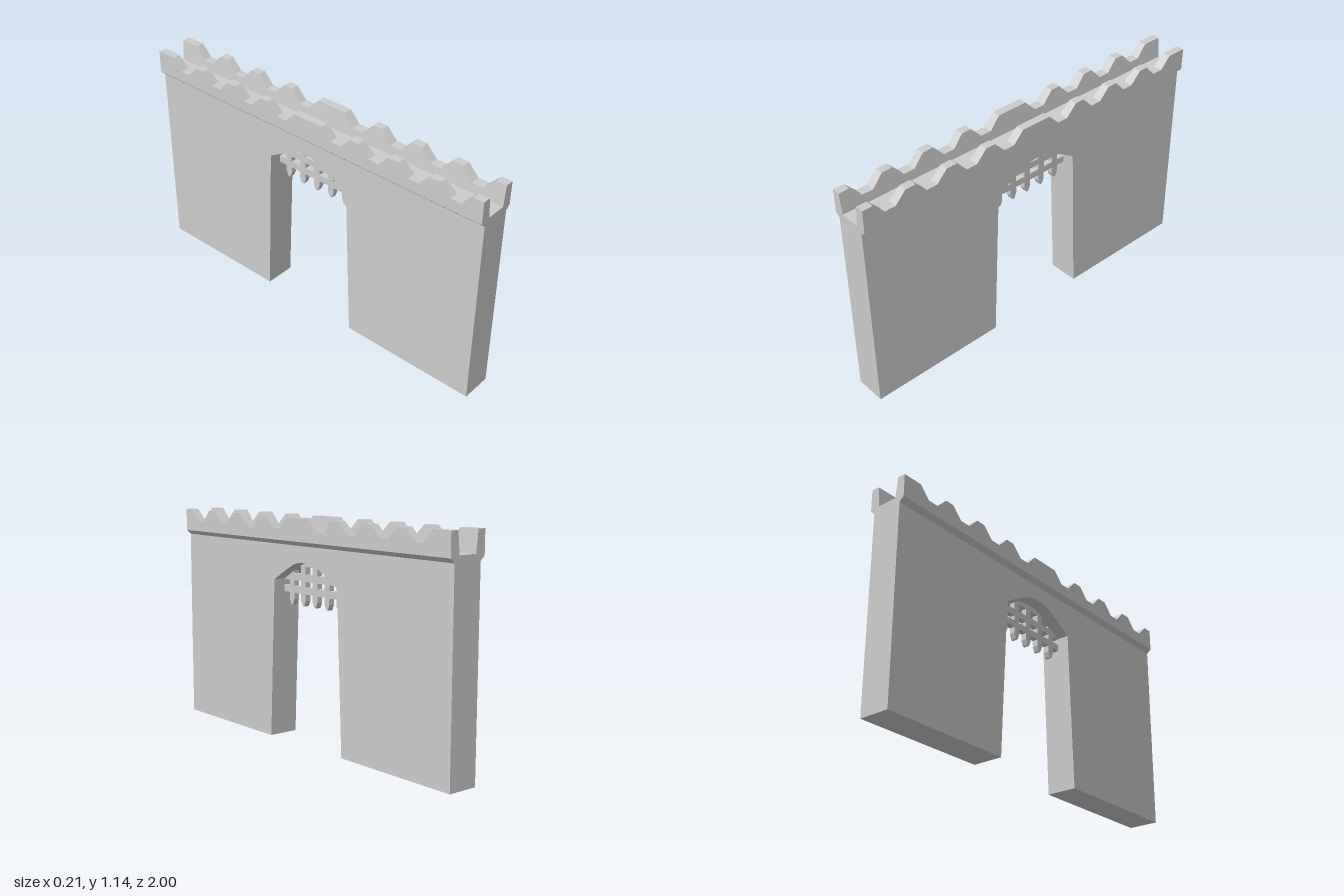
import * as THREE from 'three';

const material = new THREE.MeshStandardMaterial({ color: 0xcccccc, flatShading: true });

const makeShape = (points) => new THREE.Shape(points.map(([a, b]) => new THREE.Vector2(a, b)));

// Extrudes a (z, y) outline across the wall, centred on x = 0.
function extrudeAcross(points, depth) {
  const geometry = new THREE.ExtrudeGeometry(makeShape(points), { depth, bevelEnabled: false });
  return geometry.translate(0, 0, -depth / 2).rotateY(-Math.PI / 2);
}

function add(parent, name, geometry) {
  const mesh = new THREE.Mesh(geometry, material);
  mesh.name = name;
  parent.add(mesh);
  return mesh;
}

export function createModel() {
  const model = new THREE.Group();
  model.name = 'castleGateWall';

  // Wall with tapering gateway and low arch
  const gateZ = -0.006;
  const halfArch = [[0.278, 0], [0.2425, 0.818], [0.15, 0.872], [0.085, 0.906], [0.042, 0.917]];
  const arch = [
    ...halfArch.map(([z, y]) => [gateZ + z, y]),
    [gateZ, 0.92],
    ...halfArch.map(([z, y]) => [gateZ - z, y]).reverse(),
  ];
  add(model, 'wall', extrudeAcross([[1, 0], [1, 1], [-1, 1], [-1, 0], ...arch.reverse()], 0.16));

  // Flared ledge carrying the walkway
  const ledge = makeShape([
    [-0.08, 1], [0.08, 1], [0.104, 1.022], [0.104, 1.032], [-0.104, 1.032], [-0.104, 1.022],
  ]);
  add(model, 'walkwayLedge',
    new THREE.ExtrudeGeometry(ledge, { depth: 2, bevelEnabled: false }).translate(0, 0, -1));

  // Parapets: sloped notches, with the inner face leaning outwards
  const base = 1.032, low = 1.08, top = 1.138;
  const notches = [0.861, 0.636, 0.41, 0.188, -0.149, -0.37, -0.592, -0.811];
  const crest = [[1, base], [1, top]];
  for (const z of notches) {
    crest.push([z + 0.085, top], [z + 0.029, low], [z - 0.029, low], [z - 0.085, top]);
  }
  crest.push([-1, top], [-1, base]);
  for (const side of [1, -1]) {
    const geometry = extrudeAcross(crest, 1);
    const p = geometry.attributes.position;
    for (let i = 0; i < p.count; i++) {
      const inner = 0.051 + 0.011 * (p.getY(i) - base) / (top - base);
      p.setX(i, side * (p.getX(i) * side > 0 ? 0.104 : inner));
    }
    geometry.computeVertexNormals();
    add(model, side > 0 ? 'leftParapet' : 'rightParapet', geometry);
  }

  // Raised portcullis
  const portcullis = new THREE.Group();
  portcullis.name = 'portcullis';
  model.add(portcullis);
  const w = 0.018;
  for (const offset of [-0.182, -0.091, 0, 0.091, 0.182]) {
    const z = gateZ + offset;
    add(portcullis, 'spikedBar', extrudeAcross([
      [z - w, 0.94], [z - w, 0.718], [z - 0.006, 0.69], [z + 0.006, 0.69], [z + w, 0.718], [z + w, 0.94],
    ], 0.03));
  }
  for (const y of [0.769, 0.833, 0.907]) {
    add(portcullis, 'crossBar', new THREE.BoxGeometry(0.03, 0.035, 0.5)).position.set(0, y, gateZ);
  }

  return model;
}
